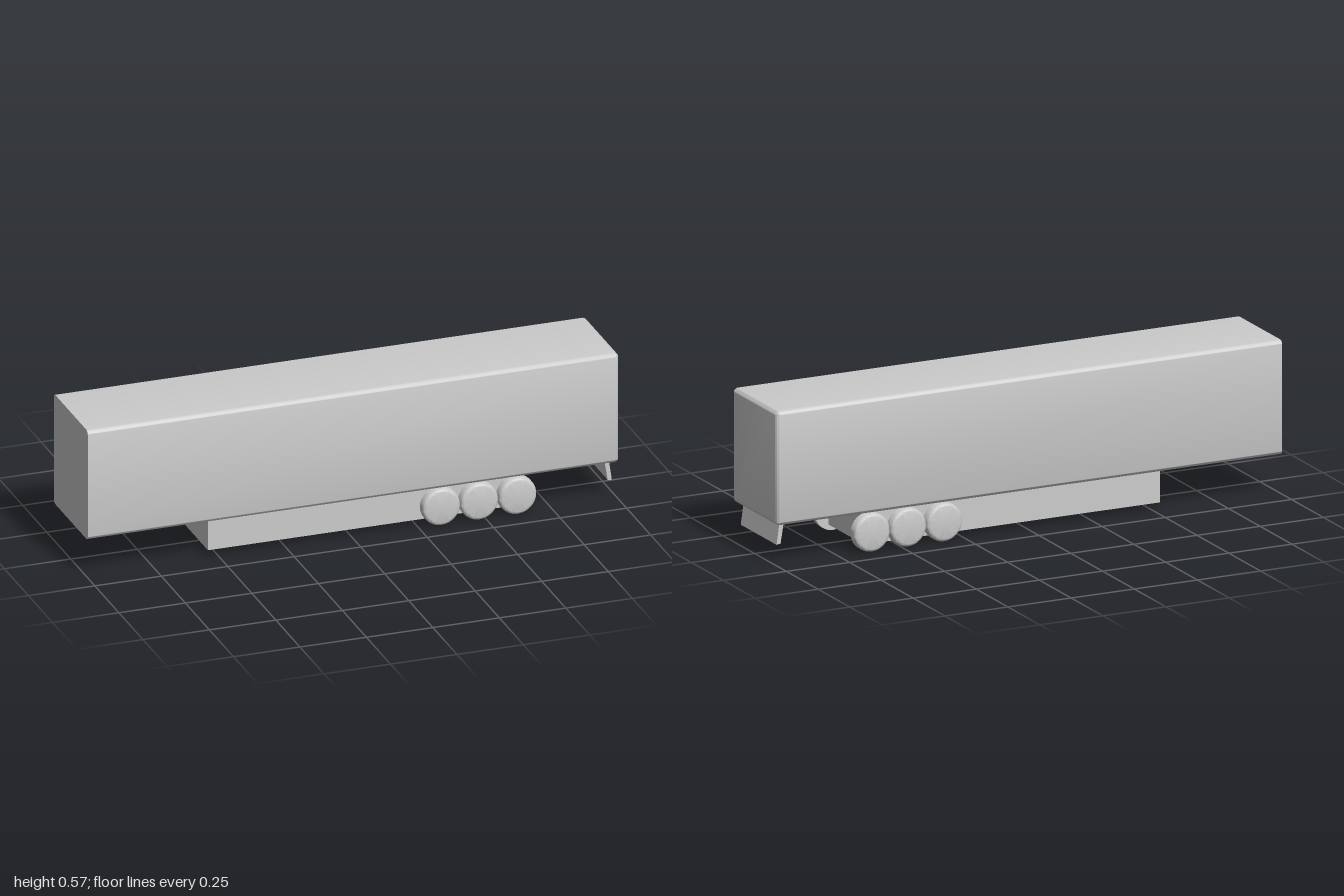
import * as THREE from 'three';
import { toCreasedNormals } from 'three/addons/utils/BufferGeometryUtils.js';
import { RoundedBoxGeometry } from 'three/addons/geometries/RoundedBoxGeometry.js';

export function createModel() {
  const group = new THREE.Group();
  const material = new THREE.MeshStandardMaterial({ color: 0xcccccc });
  const add = (name, geometry, x, y, z) => {
    const mesh = new THREE.Mesh(geometry, material);
    mesh.name = name;
    mesh.position.set(x, y, z);
    group.add(mesh);
    return mesh;
  };

  // Cargo body: rounded long edges and rear end, flat front end
  const radius = 0.017;
  const body = new RoundedBoxGeometry(2, 0.422, 0.354, 5, radius);
  const pos = body.attributes.position;
  for (let i = 0; i < pos.count; i++) {
    if (pos.getX(i) < 0) pos.setX(i, -1);
  }
  add('cargoBody', toCreasedNormals(body, Math.PI / 5), 0, 0.356, 0);

  // Chassis under the body
  add('chassis', new THREE.BoxGeometry(1.172, 0.126, 0.28), 0.051, 0.085, 0);

  // Three axles of wheels, rounded on the outer shoulder only
  const wheelRadius = 0.071, width = 0.037, fillet = 0.015;
  const profile = [new THREE.Vector2(0, 0), new THREE.Vector2(wheelRadius, 0)];
  for (let i = 0; i <= 6; i++) {
    const a = (i / 6) * Math.PI / 2;
    profile.push(new THREE.Vector2(
      wheelRadius - fillet + fillet * Math.cos(a),
      width - fillet + fillet * Math.sin(a)));
  }
  profile.push(new THREE.Vector2(0, width));
  const wheel = toCreasedNormals(new THREE.LatheGeometry(profile, 48), Math.PI / 5);
  [0.333, 0.476, 0.62].forEach((x, i) => {
    for (const side of [1, -1]) {
      const mesh = add(`${side > 0 ? 'front' : 'back'}SideWheel${i + 1}`, wheel, x, wheelRadius, side * 0.14);
      mesh.rotation.x = side * Math.PI / 2;
    }
  });

  // Slanted rear underrun bumper
  const plate = new THREE.Shape([
    new THREE.Vector2(0.955, 0.15),
    new THREE.Vector2(0.968, 0.069),
    new THREE.Vector2(0.984, 0.067),
    new THREE.Vector2(0.972, 0.15),
  ]);
  add('rearBumper', new THREE.ExtrudeGeometry(plate, { depth: 0.282, bevelEnabled: false }), 0, 0, -0.141);

  return group;
}
